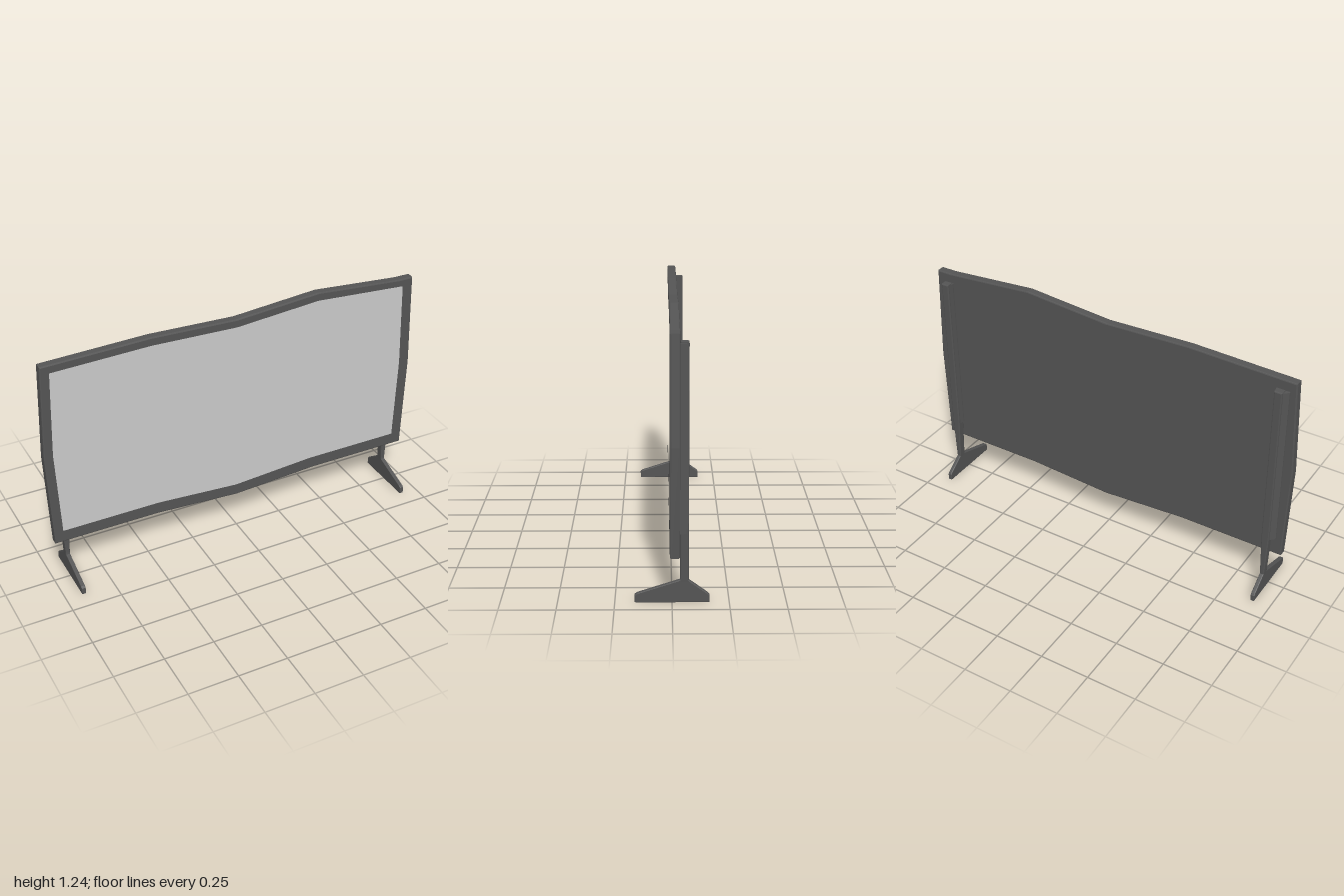
import * as THREE from 'three';

const dark = new THREE.MeshStandardMaterial({ color: 0x555555, flatShading: true });
const grey = new THREE.MeshStandardMaterial({ color: 0xcccccc, flatShading: true });

// Wavy screen outlines, clockwise from top left
const OUTER = [[-0.98, 1.205], [-0.44, 1.22], [0, 1.205], [0.44, 1.242], [0.9, 1.205], [0.98, 1.205],
  [0.995, 0.72], [0.98, 0.225], [0.44, 0.225], [0, 0.198], [-0.44, 0.225], [-0.98, 0.225], [-0.998, 0.72]];
const INNER = [[-0.943, 1.171], [-0.44, 1.184], [0, 1.17], [0.44, 1.206], [0.944, 1.171],
  [0.958, 0.72], [0.944, 0.268], [0.44, 0.268], [0, 0.238], [-0.44, 0.268], [-0.943, 0.268], [-0.96, 0.72]];

const vectors = (pts) => pts.map(([x, y]) => new THREE.Vector2(x, y));
const shrink = (pts, d) => pts.map(([x, y]) => [x - d * Math.sign(x), y - d * Math.sign(y - 0.72)]);

// Slab between z0 and z1 with small bevelled edges that stay inside the outline
function slab(name, material, pts, z0, z1, bevel = 0, hole = null) {
  const shape = new THREE.Shape(vectors(pts));
  if (hole) shape.holes.push(new THREE.Path(vectors(hole)));
  const geometry = new THREE.ExtrudeGeometry(shape, {
    depth: z1 - z0 - 2 * bevel, bevelEnabled: bevel > 0, bevelSize: bevel,
    bevelThickness: bevel, bevelOffset: -bevel, bevelSegments: 2,
  });
  geometry.translate(0, 0, z0 + bevel);
  const mesh = new THREE.Mesh(geometry, material);
  mesh.name = name;
  return mesh;
}

// Upright whose width follows a taper: rows of [y, half width]
function upright(rows, zFront, zBack) {
  const side = rows.map(([y, w]) => [w, y]);
  const pts = [...side, ...side.map(([w, y]) => [-w, y]).reverse()];
  return slab('upright', dark, pts, zBack, zFront, 0.005);
}

function stand(x, name, mountLeft, mountRight) {
  const group = new THREE.Group();
  group.name = name;
  group.add(upright([[0.08, 0.01], [0.2, 0.0145], [0.34, 0.02], [1.16, 0.02]], -0.035, -0.073));

  // Mounting rail between the upright and the back of the screen
  const rail = [[mountLeft, -0.032], [mountLeft, -0.041], [-0.02, -0.062],
    [0.02, -0.062], [mountRight, -0.041], [mountRight, -0.032]];
  const railMesh = slab('mountingRail', dark, rail.map(([a, z]) => [a, -z]), 0.32, 1.155);
  railMesh.rotation.x = -Math.PI / 2;
  group.add(railMesh);

  // Flat foot, drawn in side profile as [z, y]
  const profile = [[0.163, 0.002], [0.163, 0.036], [0.152, 0.044], [-0.034, 0.105], [-0.036, 0.125],
    [-0.07, 0.125], [-0.072, 0.105], [-0.155, 0.044], [-0.163, 0.034], [-0.163, 0.002], [-0.158, 0], [0.158, 0]];
  const foot = slab('foot', dark, profile.map(([z, y]) => [-z, y]), -0.0105, 0.0105, 0.004);
  foot.rotation.y = Math.PI / 2;
  group.add(foot);

  group.position.x = x;
  return group;
}

export function createModel() {
  const model = new THREE.Group();
  model.name = 'screenOnStands';

  // Frame, stepped inner lip, closed back and display surface
  model.add(slab('frame', dark, OUTER, -0.034, 0.01, 0.006, INNER));
  model.add(slab('innerLip', dark, shrink(INNER, -0.006), -0.025, -0.002, 0, shrink(INNER, 0.011)));
  model.add(slab('backPanel', dark, shrink(OUTER, 0.007), -0.034, -0.014));
  model.add(slab('screen', grey, shrink(INNER, 0.005), -0.014, -0.009));

  model.add(stand(-0.908, 'rightStand', -0.042, 0.025));
  model.add(stand(0.912, 'leftStand', -0.024, 0.024));
  return model;
}
